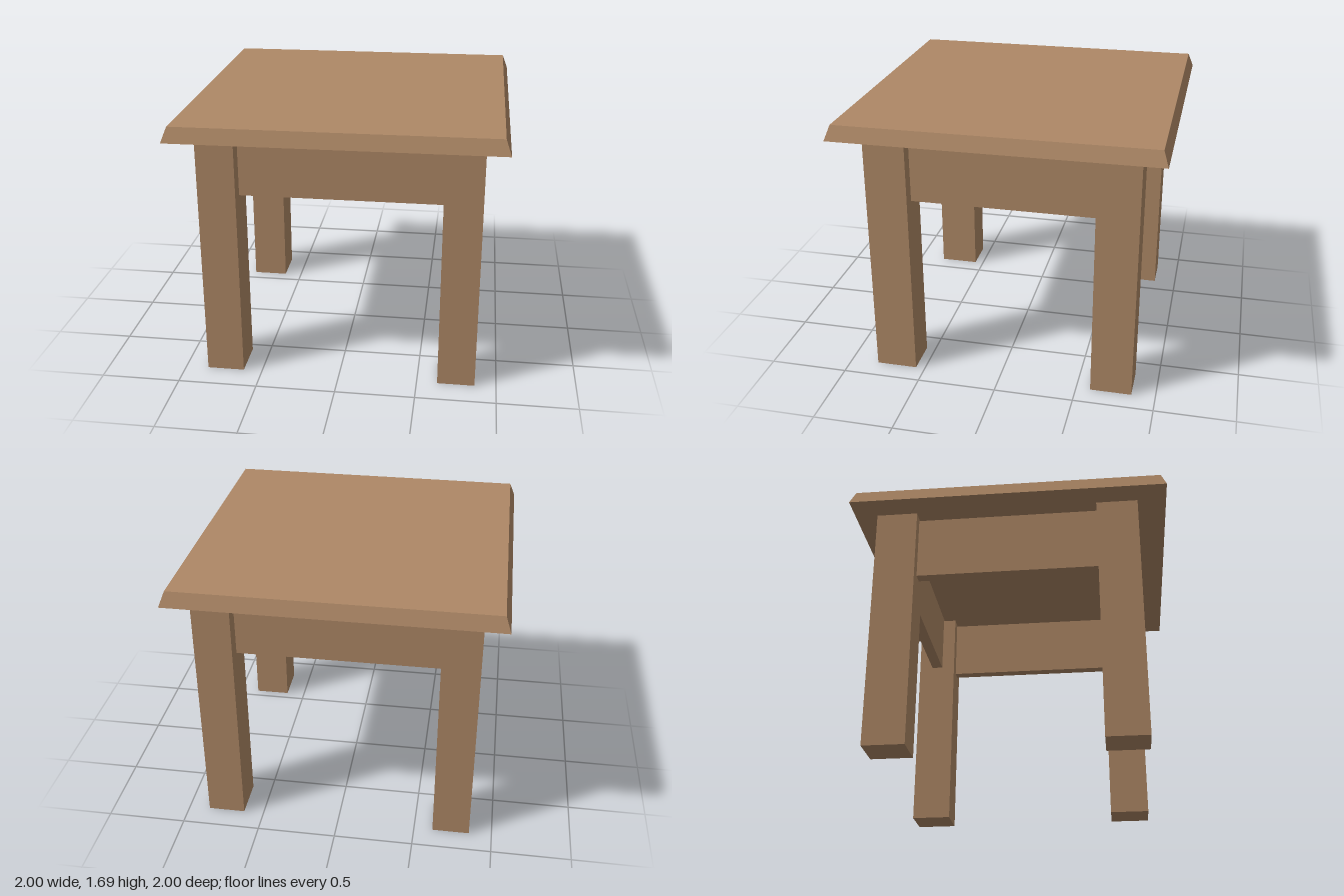
import * as THREE from 'three';

export function createModel() {
  const group = new THREE.Group();
  const wood = new THREE.MeshStandardMaterial({ color: 0xae8866 });
  wood.name = 'brownWood';

  // Box given by its extents on each axis
  const addBox = (name, [x0, x1], [y0, y1], [z0, z1]) => {
    const mesh = new THREE.Mesh(new THREE.BoxGeometry(x1 - x0, y1 - y0, z1 - z0), wood);
    mesh.position.set((x0 + x1) / 2, (y0 + y1) / 2, (z0 + z1) / 2);
    mesh.name = name;
    group.add(mesh);
  };

  // Four square legs
  const legX = { Right: [-0.855, -0.62], Left: [0.63, 0.865] };
  const legZ = { front: [0.56, 0.82], back: [-0.85, -0.59] };
  for (const end in legZ) {
    for (const side in legX) addBox(`${end}${side}Leg`, legX[side], [0, 1.58], legZ[end]);
  }

  // Aprons between the legs
  addBox('frontApron', [-0.71, 0.73], [1.18, 1.595], [0.65, 0.725]);
  addBox('backApron', [-0.71, 0.73], [1.18, 1.595], [-0.755, -0.68]);
  addBox('rightApron', [-0.78, -0.71], [1.16, 1.57], [-0.72, 0.69]);
  addBox('leftApron', [0.715, 0.785], [1.16, 1.57], [-0.72, 0.69]);

  // Table top: a slab whose upper edge is bevelled inwards
  const slab = new THREE.BoxGeometry(2, 0.092, 2);
  const pos = slab.attributes.position;
  for (let i = 0; i < pos.count; i++) {
    if (pos.getY(i) > 0) {
      pos.setX(i, pos.getX(i) * 0.966);
      pos.setZ(i, pos.getZ(i) * 0.968);
    }
  }
  slab.computeVertexNormals();
  const top = new THREE.Mesh(slab, wood);
  top.name = 'tableTop';
  top.position.y = 1.641;
  top.rotation.set(0.003, 0, 0.003); // slight settling tilt
  group.add(top);

  return group;
}
